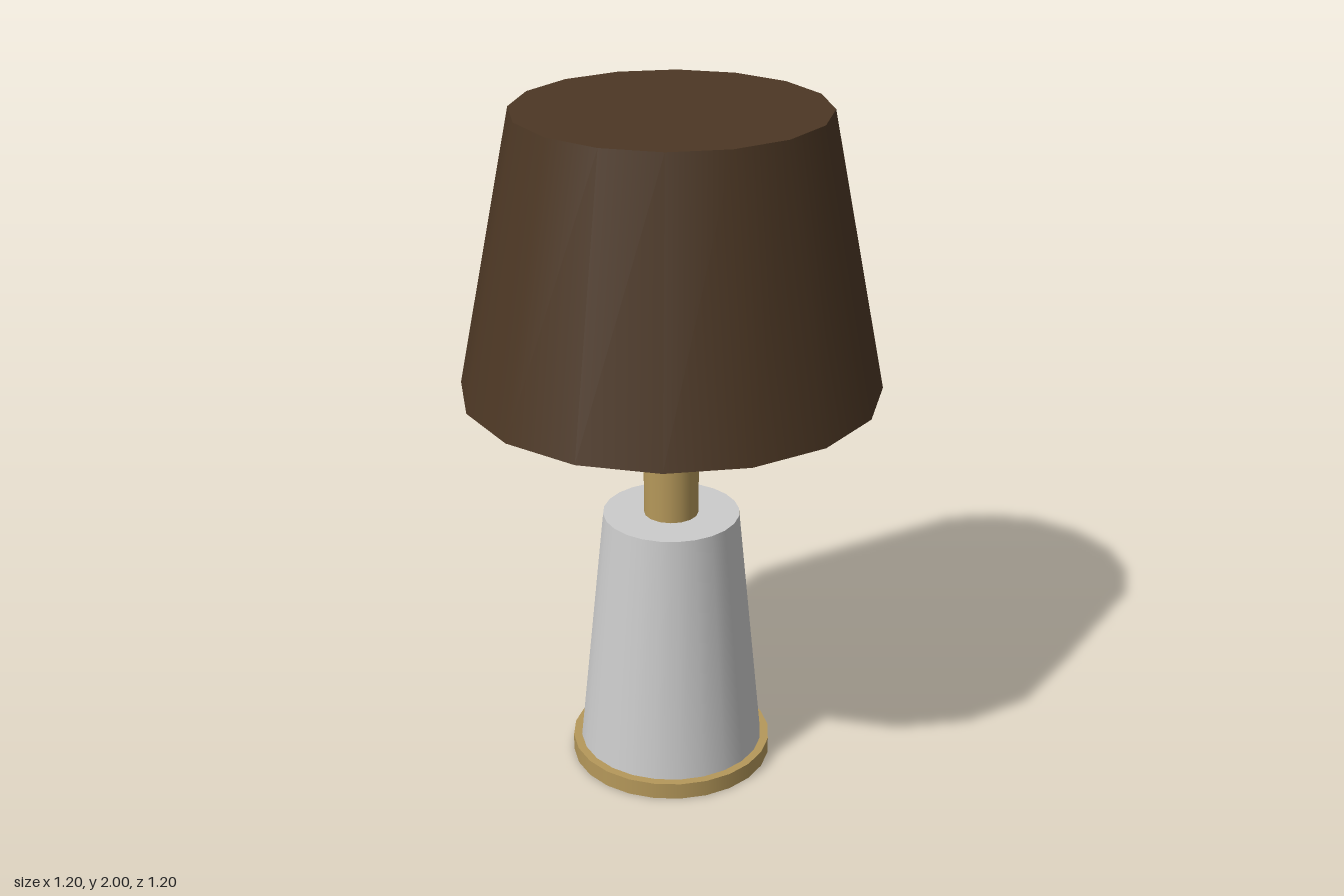
import * as THREE from 'three';

const brass = new THREE.MeshStandardMaterial({ color: 0xb5985a });
const grey = new THREE.MeshStandardMaterial({ color: 0xcccccc });
const fabric = new THREE.MeshStandardMaterial({ color: 0x4c3724 });

// Capped, tapered round part standing between two heights
function roundPart(name, bottomRadius, topRadius, y0, y1, sides, material) {
  const geometry = new THREE.CylinderGeometry(topRadius, bottomRadius, y1 - y0, sides);
  const mesh = new THREE.Mesh(geometry, material);
  mesh.name = name;
  mesh.position.y = (y0 + y1) / 2;
  return mesh;
}

export function createModel() {
  const lamp = new THREE.Group();
  lamp.name = 'tableLamp';
  lamp.add(
    roundPart('footRing', 0.3, 0.3, 0, 0.05, 24, brass),
    roundPart('body', 0.275, 0.2, 0.05, 0.8, 24, grey),
    roundPart('neck', 0.08, 0.08, 0.8, 1.2, 16, brass),
    roundPart('shade', 0.6, 0.44, 1.2, 2, 16, fabric),
  );
  return lamp;
}
